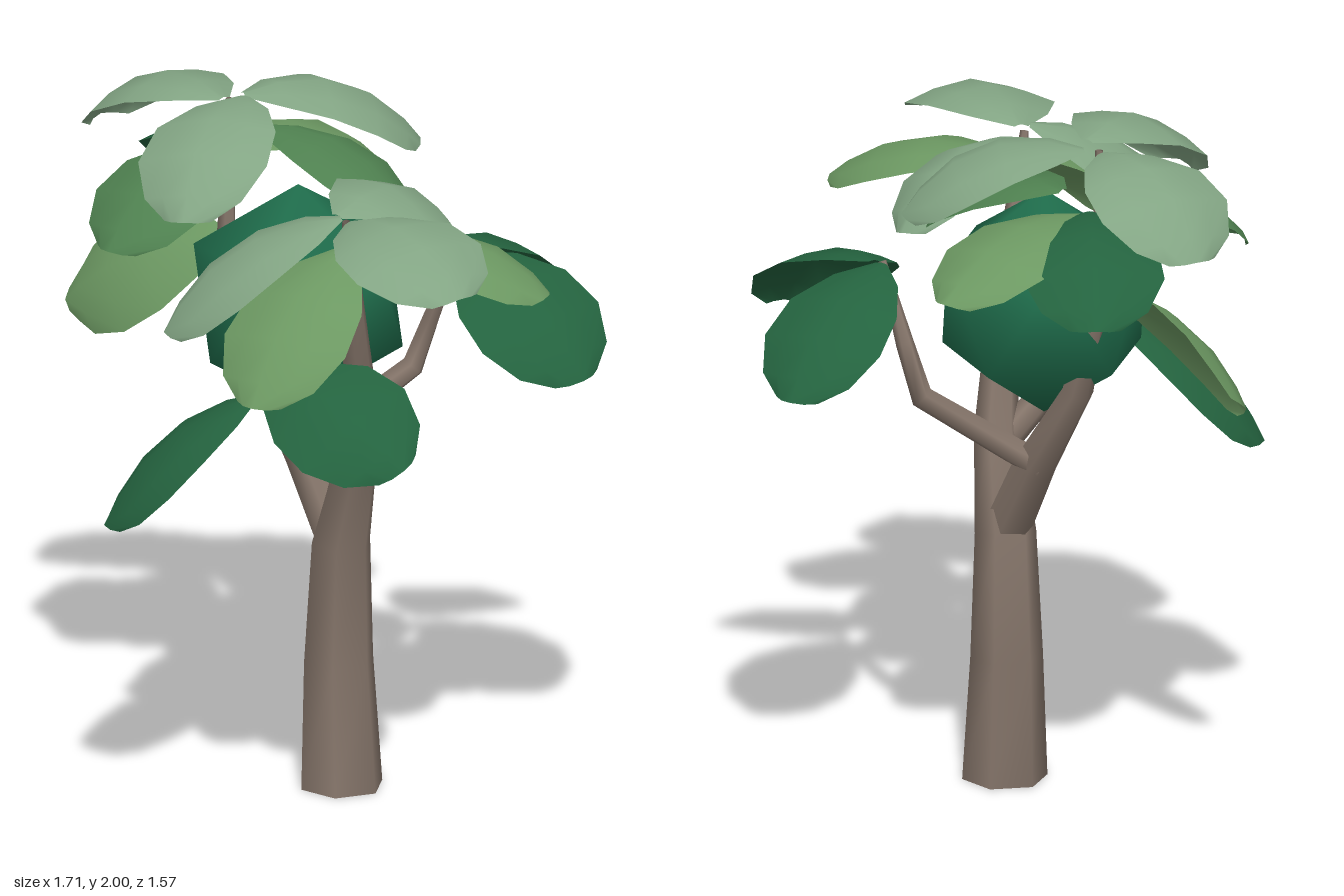
import * as THREE from 'three';
import { mergeVertices } from 'three/addons/utils/BufferGeometryUtils.js';
import { ConvexGeometry } from 'three/addons/geometries/ConvexGeometry.js';

const V = (x, y, z) => new THREE.Vector3(x, y, z);
const mat = (color) => new THREE.MeshStandardMaterial({ color, side: THREE.DoubleSide });

// Smooth surface through rows of points; closed rows wrap around.
function surface(rows, closed) {
  const n = rows[0].length, index = [];
  for (let i = 0; i < rows.length - 1; i++) {
    for (let j = 0; j < (closed ? n : n - 1); j++) {
      const k = (j + 1) % n, a = i * n + j, b = i * n + k, c = b + n, d = a + n;
      index.push(a, b, c, a, c, d);
    }
  }
  const geo = new THREE.BufferGeometry().setFromPoints(rows.flat());
  geo.setIndex(index);
  geo.computeVertexNormals();
  return geo;
}

// Tapered six-sided limb through [x, y, z, radius] stations.
function limbGeometry(stations) {
  const pts = stations.map((s) => V(s[0], s[1], s[2]));
  const rows = pts.map((p, i) => {
    const t = pts[Math.min(i + 1, pts.length - 1)].clone().sub(pts[Math.max(i - 1, 0)]).normalize();
    if (i === 0 && p.y === 0) t.set(0, 1, 0);
    const u = V(1, 0, 0).addScaledVector(t, -t.x).normalize();
    const v = t.clone().cross(u);
    return Array.from({ length: 6 }, (_, j) => {
      const a = (j * Math.PI) / 3, r = stations[i][3];
      return p.clone().addScaledVector(u, r * Math.cos(a)).addScaledVector(v, r * Math.sin(a));
    });
  });
  return surface(rows, true);
}

// Broad arched leaf: narrow at the base, widest past the middle, sides drooping.
const OUTLINE = [[0, 0.1], [0.16, 0.56], [0.4, 0.92], [0.66, 1], [0.88, 0.75], [1, 0.36]];
function leafGeometry(base, tip, width, roll = 0, arch = 0.15) {
  const a = V(...base), b = V(...tip);
  const dir = b.clone().sub(a).normalize();
  const side = dir.clone().cross(V(0, 1, 0)).normalize().applyAxisAngle(dir, roll);
  const up = side.clone().cross(dir);
  const mid = a.clone().lerp(b, 0.5).addScaledVector(up, arch);
  const spine = new THREE.QuadraticBezierCurve3(a, mid, b);
  const rows = OUTLINE.map(([t, w]) => [-1, -0.55, 0, 0.55, 1].map((s) =>
    spine.getPoint(t)
      .addScaledVector(side, (s * w * width) / 2)
      .addScaledVector(up, -0.14 * width * w * Math.pow(Math.abs(s), 1.5))
      .addScaledVector(dir, -0.03 * s * s * t)));
  return surface(rows, false);
}

export function createModel() {
  const tree = new THREE.Group();
  tree.name = 'tree';
  const add = (name, geo, material) => {
    const mesh = new THREE.Mesh(geo, material);
    mesh.name = name;
    tree.add(mesh);
    return mesh;
  };

  // Trunk and branches
  const bark = mat(0x85756a);
  const limbs = {
    trunk: [[0.07, 0, 0, 0.122], [0.05, 0.37, -0.01, 0.104], [0.067, 0.73, 0, 0.088],
      [0.155, 1.0, 0.04, 0.064], [0.235, 1.3, 0.13, 0.045], [0.29, 1.62, 0.23, 0.028], [0.305, 1.8, 0.27, 0.012]],
    rightBranch: [[0.05, 0.76, 0, 0.07], [-0.06, 0.96, 0, 0.064], [-0.25, 1.23, 0, 0.045],
      [-0.35, 1.55, 0, 0.028], [-0.33, 1.96, 0.01, 0.011]],
    frontBranch: [[0.14, 0.94, 0.02, 0.045], [0.12, 1.05, 0.14, 0.042], [0.1, 1.2, 0.3, 0.034], [0.05, 1.31, 0.38, 0.014]],
    backBranch: [[-0.09, 0.97, 0.0, 0.045], [-0.04, 1.01, -0.06, 0.04], [0.1, 1.18, -0.28, 0.034],
      [0.15, 1.33, -0.3, 0.026], [0.25, 1.55, -0.3, 0.012]],
  };
  for (const [name, stations] of Object.entries(limbs)) add(name, limbGeometry(stations), bark);
  const bottom = add('trunkBase', new THREE.CircleGeometry(0.122, 6), bark);
  bottom.rotation.x = Math.PI / 2;
  bottom.position.x = 0.07;

  // Faceted inner foliage: top and bottom points with two rings of five
  const R = 0.33, corners = [V(0, R, 0), V(0, -R, 0)];
  for (let i = 0; i < 5; i++) {
    const a = ((18 + 72 * i) * Math.PI) / 180;
    const x = 0.894 * R * Math.sin(a), z = 0.894 * R * Math.cos(a);
    corners.push(V(x, 0.447 * R, z), V(-x, -0.447 * R, z));
  }
  const raw = new ConvexGeometry(corners);
  raw.deleteAttribute('normal');
  const core = mergeVertices(raw, 0.001);
  core.computeVertexNormals();
  add('innerFoliage', core, mat(0x20704e)).position.set(-0.06, 1.44, 0.035);

  // Leaves: base, tip, width, roll, arch
  const leaves = {
    paleLeaf: [0x83a584, [
      [[-0.35, 1.96, 0.01], [-0.86, 1.78, -0.07], 0.41, 0, 0.2],
      [[-0.31, 1.97, -0.03], [-0.01, 1.79, -0.45], 0.44, 0, 0.2],
      [[-0.28, 1.98, 0.01], [-0.1, 1.77, 0.5], 0.39, 0.1, 0.21],
      [[0.25, 1.8, 0.24], [0.2, 1.64, -0.27], 0.35, 0.2, 0.2],
      [[0.3, 1.82, 0.29], [-0.04, 1.5, 0.66], 0.45, 0, 0.17],
      [[0.33, 1.81, 0.28], [0.85, 1.73, 0.43], 0.42, 0.1, 0.17],
    ]],
    midLeaf: [0x4f8150, [
      [[-0.35, 1.84, 0.03], [-0.38, 1.62, 0.49], 0.4, 0, 0.16],
      [[-0.3, 1.86, -0.1], [0.18, 1.68, -0.17], 0.36, -0.1, 0.15],
    ]],
    brightLeaf: [0x6c9862, [
      [[-0.34, 1.79, -0.06], [-0.39, 1.65, -0.61], 0.38, 0, 0.16],
      [[-0.34, 1.56, 0.02], [-0.82, 1.29, 0.14], 0.39, -0.8, 0.14],
      [[0.32, 1.73, 0.2], [0.8, 1.61, -0.03], 0.39, 0, 0.16],
      [[0.31, 1.73, 0.29], [0.37, 1.39, 0.77], 0.4, 0, 0.15],
    ]],
    darkLeaf: [0x24633f, [
      [[-0.36, 1.8, -0.05], [-0.78, 1.62, -0.38], 0.4, 0, 0.18],
      [[0.1, 1.28, 0.42], [-0.2, 0.91, 0.73], 0.42, 0, 0.14],
      [[0.11, 1.33, 0.36], [0.62, 1.16, 0.4], 0.4, 0.48, 0.16],
      [[0.27, 1.55, -0.31], [0.76, 1.29, -0.23], 0.41, 0.2, 0.17],
      [[0.22, 1.56, -0.33], [0.07, 1.28, -0.79], 0.38, 0, 0.16],
    ]],
  };
  for (const [name, [color, list]] of Object.entries(leaves)) {
    const material = mat(color);
    list.forEach((args, i) => add(name + (i + 1), leafGeometry(...args), material));
  }
  return tree;
}
